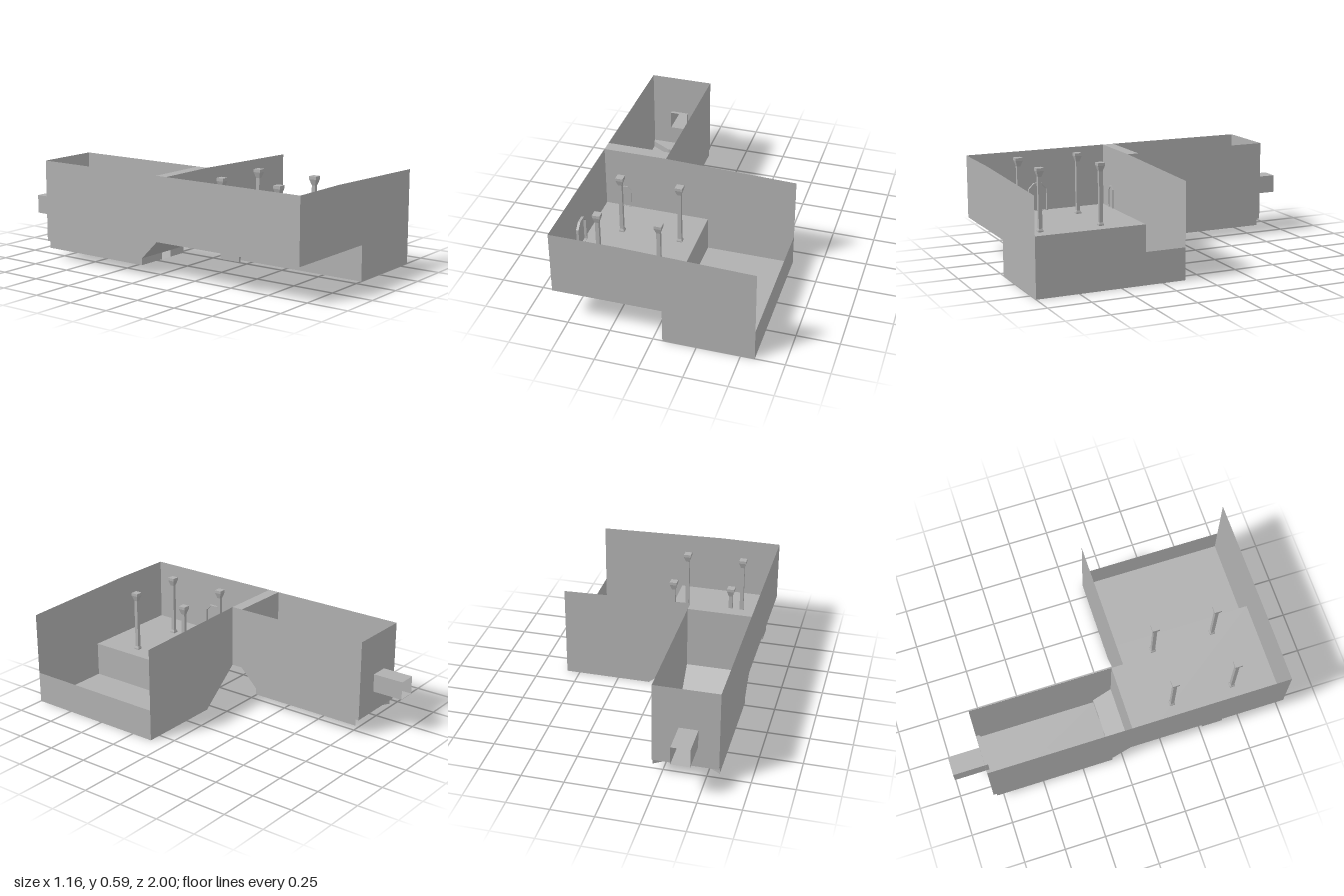
import * as THREE from 'three';

const stone = new THREE.MeshStandardMaterial({ color: 0xb0b0b0, side: THREE.DoubleSide });
stone.name = 'grey stone';

// Main levels and edges
const TOP = 0.59, END = 0.567, DECK = 0.21, LEDGE = 0.1, PIT = 0.06;
const L = -0.58, M = -0.2, S = 0.055, R = 0.58;
const FRONT = 1, BACK = 0.11, INNER = 0.04, REAR = -0.81;

const vec = (pts) => pts.map(([a, b]) => new THREE.Vector2(a, b));

export function createModel() {
  const model = new THREE.Group();
  model.name = 'openHall';

  function add(name, geometry, parent = model) {
    const mesh = new THREE.Mesh(geometry, stone);
    mesh.name = name;
    parent.add(mesh);
    return mesh;
  }

  // Flat sheet across one axis: 'x' takes (z, y), 'y' takes (x, z), 'z' takes (x, y)
  function sheet(name, axis, at, pts, hole) {
    const shape = new THREE.Shape(vec(pts));
    if (hole) shape.holes.push(new THREE.Path(vec(hole)));
    const geo = new THREE.ShapeGeometry(shape);
    const p = geo.attributes.position;
    for (let i = 0; i < p.count; i++) {
      const a = p.getX(i), b = p.getY(i);
      if (axis === 'x') p.setXYZ(i, at, b, a);
      else if (axis === 'y') p.setXYZ(i, a, at, b);
      else p.setXYZ(i, a, b, at);
    }
    geo.computeVertexNormals();
    return add(name, geo);
  }

  const rect = (a0, b0, a1, b1) => [[a0, b0], [a1, b0], [a1, b1], [a0, b1]];

  // Sheet with four free corners
  function quad(name, a, b, c, d) {
    const geo = new THREE.BufferGeometry();
    geo.setAttribute('position', new THREE.Float32BufferAttribute([a, b, c, a, c, d].flat(), 3));
    geo.computeVertexNormals();
    return add(name, geo);
  }

  // Hall floors and step
  sheet('upperFloor', 'y', DECK, rect(L, BACK, S, FRONT));
  sheet('lowerFloor', 'y', 0, rect(S, BACK, R, FRONT));
  sheet('stepRiser', 'x', S, rect(BACK, 0, FRONT, DECK));

  // Hall walls
  sheet('frontWall', 'z', FRONT, [[L, DECK], [S, DECK], [S, 0], [R, 0], [R, END], [M, TOP], [L, TOP]]);
  sheet('backWall', 'z', BACK, [[M, DECK], [S, 0], [R, 0], [R, END], [M, TOP]]);
  sheet('lowSideWall', 'x', R, rect(BACK, 0, FRONT, 0.19));
  sheet('hallSideWall', 'x', L, rect(BACK, DECK, FRONT, TOP));

  // Thick wall between the hall and the rear room
  sheet('dividerHallFace', 'z', BACK, rect(L, DECK, M, TOP));
  sheet('dividerRoomFace', 'z', INNER, rect(L, DECK, M, TOP));
  sheet('dividerCap', 'y', TOP, rect(L, INNER, M, BACK));
  sheet('dividerFloor', 'y', DECK, rect(L, INNER, M, BACK));

  // Rear room sides
  const side = [[BACK, DECK], [INNER, DECK], [-0.07, LEDGE], [-0.07, PIT], [-0.79, PIT],
    [-0.79, LEDGE], [REAR, LEDGE], [REAR, TOP], [BACK, TOP]];
  for (const [name, x] of [['roomLeftWall', M], ['roomRightWall', L]]) sheet(name, 'x', x, side);
  sheet('roomEndWall', 'z', REAR, rect(L, LEDGE, M, TOP), rect(-0.46, 0.23, -0.35, 0.34));

  // Rear room ramp, riser with a gap, and floor
  quad('ramp', [L, DECK, INNER], [M, DECK, INNER], [M, LEDGE, -0.07], [L, LEDGE, -0.07]);
  sheet('riserRight', 'z', -0.07, rect(L, PIT, -0.4, LEDGE));
  sheet('riserLeft', 'z', -0.07, rect(-0.32, PIT, M, LEDGE));
  const rim = [[L, -0.79], [-0.46, -0.72], [-0.31, -0.72], [M, -0.79]];
  sheet('roomFloor', 'y', PIT, [[M, -0.07], [L, -0.07], ...rim]);

  // Raised ledge at the far end
  sheet('endLedge', 'y', LEDGE, [...rim, [M, REAR], [L, REAR]]);
  for (let i = 0; i < 3; i++) {
    const [x0, z0] = rim[i], [x1, z1] = rim[i + 1];
    quad('ledgeRiser', [x0, PIT, z0], [x1, PIT, z1], [x1, LEDGE, z1], [x0, LEDGE, z0]);
  }

  // Winding path on the room floor
  sheet('windingPath', 'y', PIT + 0.002, [[-0.4, -0.07], [-0.375, -0.18], [-0.385, -0.235],
    [-0.44, -0.27], [-0.48, -0.36], [-0.445, -0.42], [-0.39, -0.45], [-0.335, -0.455],
    [-0.4, -0.415], [-0.43, -0.37], [-0.37, -0.305], [-0.3, -0.245], [-0.285, -0.17], [-0.32, -0.07]]);

  // Square duct through the end wall, open at both ends
  const duct = [[-0.46, 0.23], [-0.35, 0.23], [-0.35, 0.34], [-0.46, 0.34]];
  duct.forEach(([x0, y0], i) => {
    const [x1, y1] = duct[(i + 1) % 4];
    quad('ductSide', [x0, y0, -0.79], [x1, y1, -0.79], [x1, y1, -1], [x0, y0, -1]);
  });

  // Square pillars with flared capitals and small bases
  const profile = [[0, 0], [0.016, 0], [0.016, 0.008], [0.011, 0.02], [0.011, 0.325],
    [0.022, 0.36], [0.022, 0.377], [0, 0.377]];
  const pillarGeo = new THREE.LatheGeometry(
    vec(profile.map(([r, y]) => [r * Math.SQRT2, y])), 4).rotateY(Math.PI / 4).toNonIndexed();
  pillarGeo.computeVertexNormals();
  for (const x of [-0.395, -0.04]) {
    for (const z of [0.36, 0.74]) add('pillar', pillarGeo).position.set(x, DECK, z);
  }

  // Arched door frames with cut corners
  function archOutline(w, base, h, cut) {
    return [[-w, base], [w, base], [w, h - cut], [w - cut, h], [cut - w, h], [-w, h - cut]];
  }
  function arch(name, w, base, h, cut, t, depth) {
    const shape = new THREE.Shape(vec(archOutline(w, base, h, cut)));
    shape.holes.push(new THREE.Path(vec(archOutline(w - t, 0.002, h - t, cut - t * 0.4))));
    return add(name, new THREE.ExtrudeGeometry(shape, { depth, bevelEnabled: false }));
  }
  arch('backDoorFrame', 0.035, -0.002, 0.14, 0.022, 0.009, 0.006).position.set(-0.455, DECK, BACK);
  const sideArch = arch('sideDoorFrame', 0.063, -0.03, 0.175, 0.035, 0.01, 0.015);
  sideArch.rotation.y = Math.PI / 2;
  sideArch.position.set(L, DECK, 0.55);

  return model;
}
